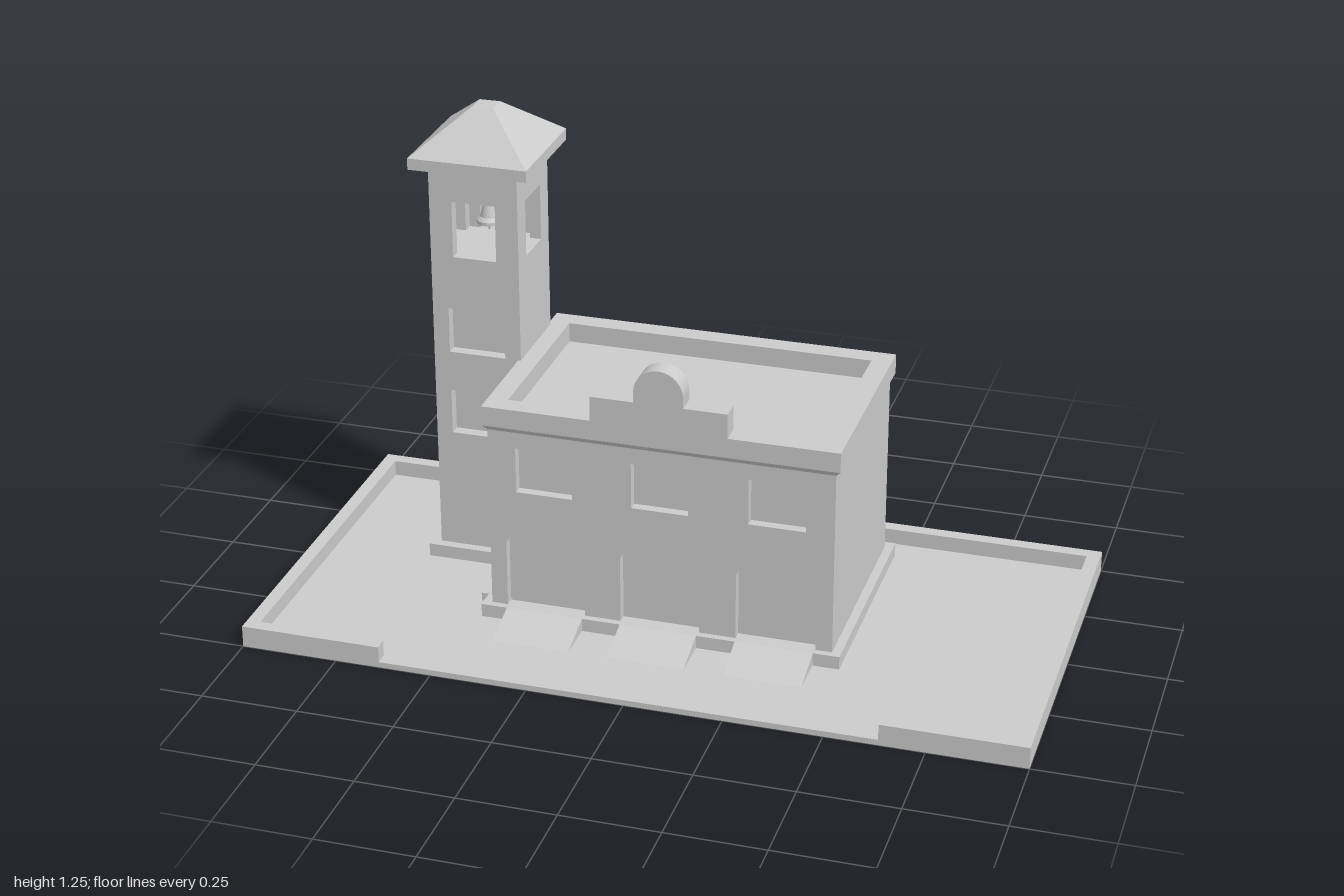
import * as THREE from 'three';

const material = new THREE.MeshStandardMaterial({ color: 0xcccccc });
const FLOOR = 0.015, PLINTH = 0.05;

function add(parent, name, geometry) {
  const mesh = new THREE.Mesh(geometry, material);
  mesh.name = name;
  parent.add(mesh);
  return mesh;
}

// Box given by its limits on each axis
function block(x0, x1, y0, y1, z0, z1) {
  return new THREE.BoxGeometry(x1 - x0, y1 - y0, z1 - z0)
    .translate((x0 + x1) / 2, (y0 + y1) / 2, (z0 + z1) / 2);
}

// Box whose upper face has a different size from its lower face
function frustum(w0, d0, w1, d1, y0, y1) {
  const g = new THREE.BoxGeometry(1, y1 - y0, 1).translate(0, (y0 + y1) / 2, 0);
  const p = g.attributes.position;
  const mid = (y0 + y1) / 2;
  for (let i = 0; i < p.count; i++) {
    const top = p.getY(i) > mid;
    p.setX(i, p.getX(i) * (top ? w1 : w0));
    p.setZ(i, p.getZ(i) * (top ? d1 : d0));
  }
  g.computeVertexNormals();
  return g;
}

function polygon(points) {
  return new THREE.Shape(points.map(([x, y]) => new THREE.Vector2(x, y)));
}

function rect(cx, w, y0, y1) {
  return polygon([[cx - w / 2, y0], [cx + w / 2, y0], [cx + w / 2, y1], [cx - w / 2, y1]]);
}

// Opening with straight jambs and a flattened arch
function arch(cx, w, y0, spring, top) {
  const s = new THREE.Shape();
  s.moveTo(cx - w / 2, y0);
  s.lineTo(cx + w / 2, y0);
  s.lineTo(cx + w / 2, spring);
  s.absellipse(cx, spring, w / 2, top - spring, 0, Math.PI, false);
  s.closePath();
  return s;
}

function extrude(shape, depth) {
  return new THREE.ExtrudeGeometry(shape, { depth, bevelEnabled: false, curveSegments: 20 });
}

// Wall panel with openings; its outer face lies on the local plane z = 0
function panel(w, y0, y1, holes, thickness) {
  const s = rect(0, w, y0, y1);
  s.holes.push(...holes);
  return extrude(s, thickness).translate(0, 0, -thickness);
}

function makeGrounds() {
  const g = new THREE.Group();
  g.name = 'grounds';
  add(g, 'groundSlab', block(-1, 1, 0, FLOOR, -0.5, 0.5));
  // Low perimeter wall, open in the middle of the front
  const outline = polygon([
    [-0.635, -0.5], [-0.635, -0.465], [-0.965, -0.465], [-0.965, 0.465],
    [0.965, 0.465], [0.965, -0.465], [0.635, -0.465], [0.635, -0.5],
    [1, -0.5], [1, 0.5], [-1, 0.5], [-1, -0.5],
  ]);
  add(g, 'perimeterWall', extrude(outline, 0.042).rotateX(-Math.PI / 2).translate(0, FLOOR, 0));
  return g;
}

function makeHall() {
  const g = new THREE.Group();
  g.name = 'hall';
  const bays = [-0.3, 0, 0.3];
  const t = 0.025, W = 0.445, zF = 0.192, zB = -0.38, zMid = (zF + zB) / 2, D = zF - zB;

  add(g, 'hallPlinth', block(-0.468, 0.468, FLOOR, PLINTH, -0.405, 0.21));
  add(g, 'hallCore', block(-W + t, W, FLOOR, 0.54, zB + t, zF - t));

  // Front: arched doors under windows. Back: two rows of windows
  const upper = bays.map((x) => rect(x, 0.146, 0.375, 0.497));
  const doors = bays.map((x) => arch(x, 0.206, PLINTH, 0.225, 0.285));
  add(g, 'frontWall', panel(2 * W, FLOOR, 0.54, [...upper, ...doors], t)).position.z = zF;
  const lower = bays.map((x) => rect(x, 0.146, 0.12, 0.242));
  const back = add(g, 'backWall', panel(2 * W, FLOOR, 0.54, [...upper, ...lower], t));
  back.position.z = zB;
  back.rotation.y = Math.PI;

  // Side wall beside the tower, with a door and its step
  const sideDoor = rect(0.047 - zMid, 0.13, PLINTH, 0.27);
  const side = add(g, 'sideWall', panel(D - 2 * t, FLOOR, 0.54, [sideDoor], t));
  side.position.set(-W, 0, zMid);
  side.rotation.y = -Math.PI / 2;
  add(g, 'sideStep', block(-0.495, -0.46, FLOOR, 0.038, -0.04, 0.135));

  // Sloped ramps up to the front doors
  for (const x of bays) {
    const wedge = polygon([[-0.21, FLOOR], [-0.21, PLINTH], [-0.32, FLOOR]]);
    add(g, 'doorRamp', extrude(wedge, 0.2).rotateY(Math.PI / 2).translate(x - 0.1, 0, 0));
  }

  // Splayed cornice, whose top is the roof deck, and the parapet around it
  add(g, 'cornice', frustum(2 * W, D, 0.914, 0.588, 0.54, 0.553)).position.z = zMid;
  const ring = rect(0, 0.914, -0.294, 0.294);
  ring.holes.push(rect(0, 0.81, -0.24, 0.24));
  add(g, 'parapet', extrude(ring, 0.052).rotateX(-Math.PI / 2)).position.set(0, 0.553, zMid);

  // Stepped gable with a round head
  const gable = new THREE.Shape();
  gable.moveTo(-0.175, 0.6);
  gable.lineTo(0.175, 0.6);
  gable.lineTo(0.175, 0.67);
  gable.lineTo(0.063, 0.67);
  gable.lineTo(0.063, 0.698);
  gable.absarc(0, 0.698, 0.063, 0, Math.PI, false);
  gable.lineTo(-0.063, 0.67);
  gable.lineTo(-0.175, 0.67);
  gable.closePath();
  add(g, 'gable', extrude(gable, 0.054)).position.z = 0.146;
  return g;
}

function makeTower() {
  const g = new THREE.Group();
  g.name = 'bellTower';
  const half = 0.117, t = 0.03, inner = half - t;
  add(g, 'towerPlinth', block(-0.142, 0.142, FLOOR, PLINTH, -0.142, 0.142));
  add(g, 'towerCore', block(-inner, inner, FLOOR, 0.87, -inner, inner));

  // Four walls, all with a belfry opening; the front also has two windows
  ['towerFront', 'towerLeft', 'towerBack', 'towerRight'].forEach((name, i) => {
    const holes = [rect(0, 0.115, 0.87, 1.02)];
    if (i === 0) holes.push(rect(0, 0.15, 0.375, 0.497), rect(0, 0.15, 0.605, 0.727));
    const wall = add(g, name, panel(i % 2 ? 2 * inner : 2 * half, FLOOR, 1.11, holes, t));
    const a = i * Math.PI / 2;
    wall.rotation.y = a;
    wall.position.set(Math.sin(a) * half, 0, Math.cos(a) * half);
  });

  // Eaves and hipped roof with a small flat top
  add(g, 'eaves', block(-0.156, 0.156, 1.11, 1.14, -0.156, 0.156));
  add(g, 'towerRoof', frustum(0.312, 0.312, 0.055, 0.055, 1.14, 1.245));

  // Bell hanging in the belfry
  const profile = [[0, 0.985], [0.013, 0.985], [0.017, 0.972], [0.024, 0.945], [0.033, 0.936],
    [0.033, 0.927], [0, 0.927]].reverse().map(([r, y]) => new THREE.Vector2(r, y));
  const bell = add(g, 'bell', new THREE.LatheGeometry(profile, 24).toNonIndexed());
  bell.geometry.computeVertexNormals();
  add(g, 'bellRod', new THREE.CylinderGeometry(0.002, 0.002, 0.13, 8)).position.y = 1.045;
  add(g, 'clapper', new THREE.CylinderGeometry(0.005, 0.003, 0.02, 12)).position.y = 0.918;

  g.position.set(-0.567, 0, -0.197);
  return g;
}

export function createModel() {
  const model = new THREE.Group();
  model.name = 'townHall';
  model.add(makeGrounds(), makeHall(), makeTower());
  return model;
}
